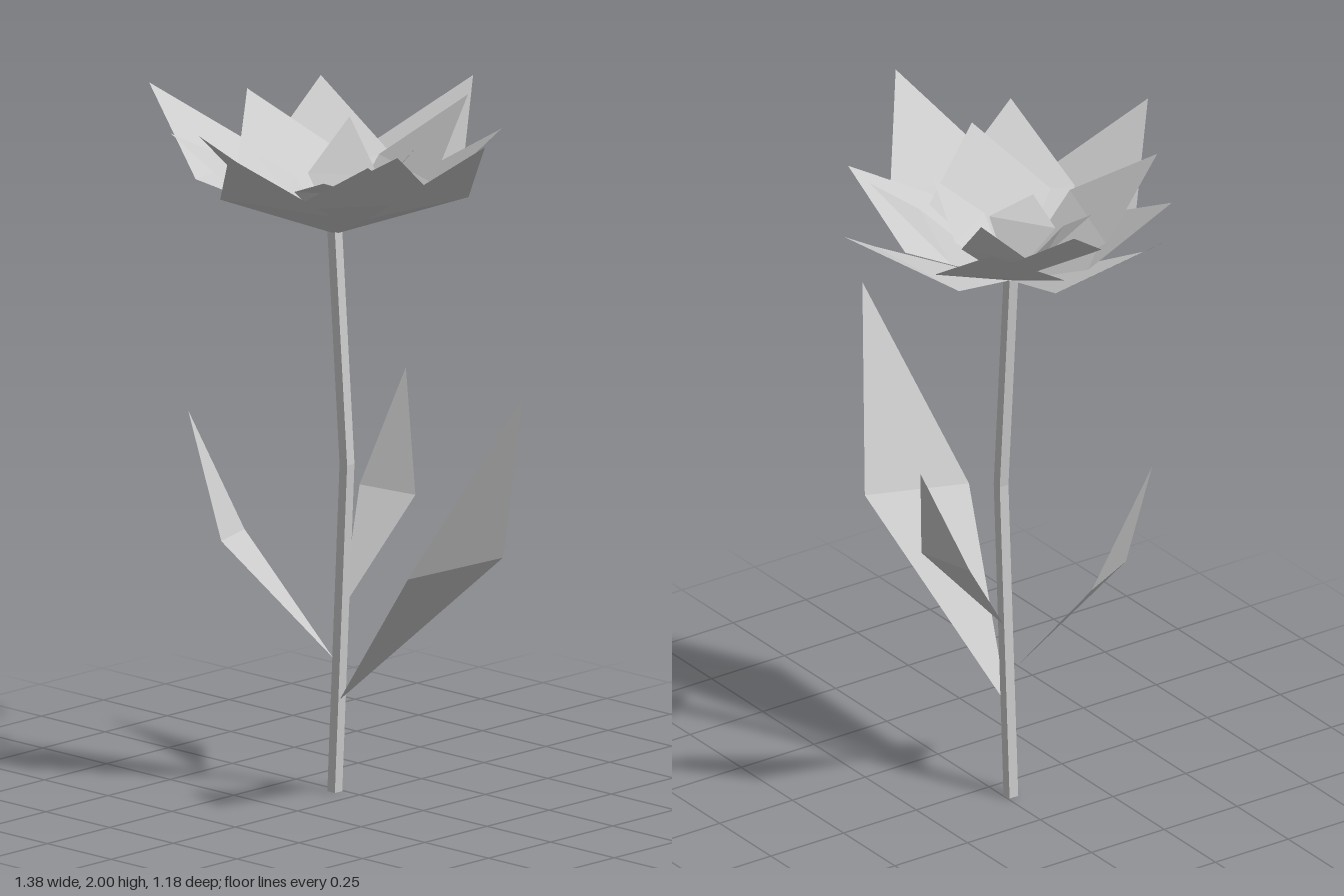
import * as THREE from 'three';

const material = new THREE.MeshStandardMaterial({
  color: 0xcccccc, flatShading: true, side: THREE.DoubleSide,
});

// A thin blade with four corners, bent along the line between its two sides
function blade(name, base, sideA, tip, sideB) {
  const geometry = new THREE.BufferGeometry();
  const corners = [base, sideA, sideB, sideA, tip, sideB].flat();
  geometry.setAttribute('position', new THREE.Float32BufferAttribute(corners, 3));
  geometry.computeVertexNormals();
  const mesh = new THREE.Mesh(geometry, material);
  mesh.name = name;
  return mesh;
}

// A petal from the flower's heart to its tip, with the bend at right angles to it
const heart = [-0.075, 1.62, 0.02];
function petal(name, tip, bend, halfWidth, bendHeight) {
  const dx = tip[0] - heart[0], dz = tip[2] - heart[2];
  const length = Math.hypot(dx, dz);
  const x = heart[0] + dx * bend, z = heart[2] + dz * bend;
  const px = (dz / length) * halfWidth, pz = (-dx / length) * halfWidth;
  return blade(name, heart, [x + px, bendHeight, z + pz], tip, [x - px, bendHeight, z - pz]);
}

export function createModel() {
  const flower = new THREE.Group();
  flower.name = 'flower';

  // Square stem, bowed sideways at its middle
  const height = 1.63;
  const stemGeometry = new THREE.CylinderGeometry(0.021, 0.021, height, 4, 2);
  stemGeometry.rotateY(Math.PI / 4).translate(-0.078, height / 2, 0.02);
  const p = stemGeometry.attributes.position;
  for (let i = 0; i < p.count; i++) {
    if (Math.abs(p.getY(i) - height / 2) < 0.01) {
      p.setX(i, p.getX(i) + 0.048);
      p.setY(i, 0.96);
    }
  }
  stemGeometry.computeVertexNormals();
  const stem = new THREE.Mesh(stemGeometry, material);
  stem.name = 'stem';
  flower.add(stem);

  // Leaves
  flower.add(
    blade('largeLeaf', [-0.055, 0.27, 0.025], [0.39, 0.735, 0.205], [0.69, 1.29, 0.05], [0.465, 0.755, -0.1]),
    blade('sideLeaf', [-0.075, 0.39, 0.03], [-0.345, 0.73, 0.11], [-0.405, 1.095, 0.275], [-0.27, 0.74, 0.28]),
    blade('backLeaf', [-0.06, 0.53, 0.01], [-0.025, 0.82, -0.25], [-0.155, 1.15, -0.345], [-0.205, 0.825, -0.21]),
  );

  // Four rings of petals, from the outside in
  const rings = [
    { name: 'outerPetal', bend: 0.56, halfWidth: 0.182, bendHeight: 1.768,
      tips: [[-0.69, 1.97, 0.14], [0.57, 2.0, 0.08], [-0.13, 1.957, -0.59], [0.06, 1.972, 0.588]] },
    { name: 'secondPetal', bend: 0.56, halfWidth: 0.185, bendHeight: 1.77,
      tips: [[-0.455, 1.95, -0.31], [0.27, 1.93, -0.295], [0.335, 1.94, 0.31], [-0.41, 1.91, 0.34]] },
    { name: 'thirdPetal', bend: 0.53, halfWidth: 0.178, bendHeight: 1.785,
      tips: [[0.07, 1.98, -0.365], [-0.5, 1.95, -0.06], [-0.21, 1.955, 0.43], [0.29, 1.93, 0.145]] },
    { name: 'innerPetal', bend: 0.53, halfWidth: 0.1, bendHeight: 1.76,
      tips: [[-0.21, 1.9, -0.175], [0.13, 1.89, -0.1], [-0.26, 1.86, 0.17], [0.02, 1.81, 0.165]] },
  ];
  for (const ring of rings) {
    for (const tip of ring.tips) {
      flower.add(petal(ring.name, tip, ring.bend, ring.halfWidth, ring.bendHeight));
    }
  }
  return flower;
}
